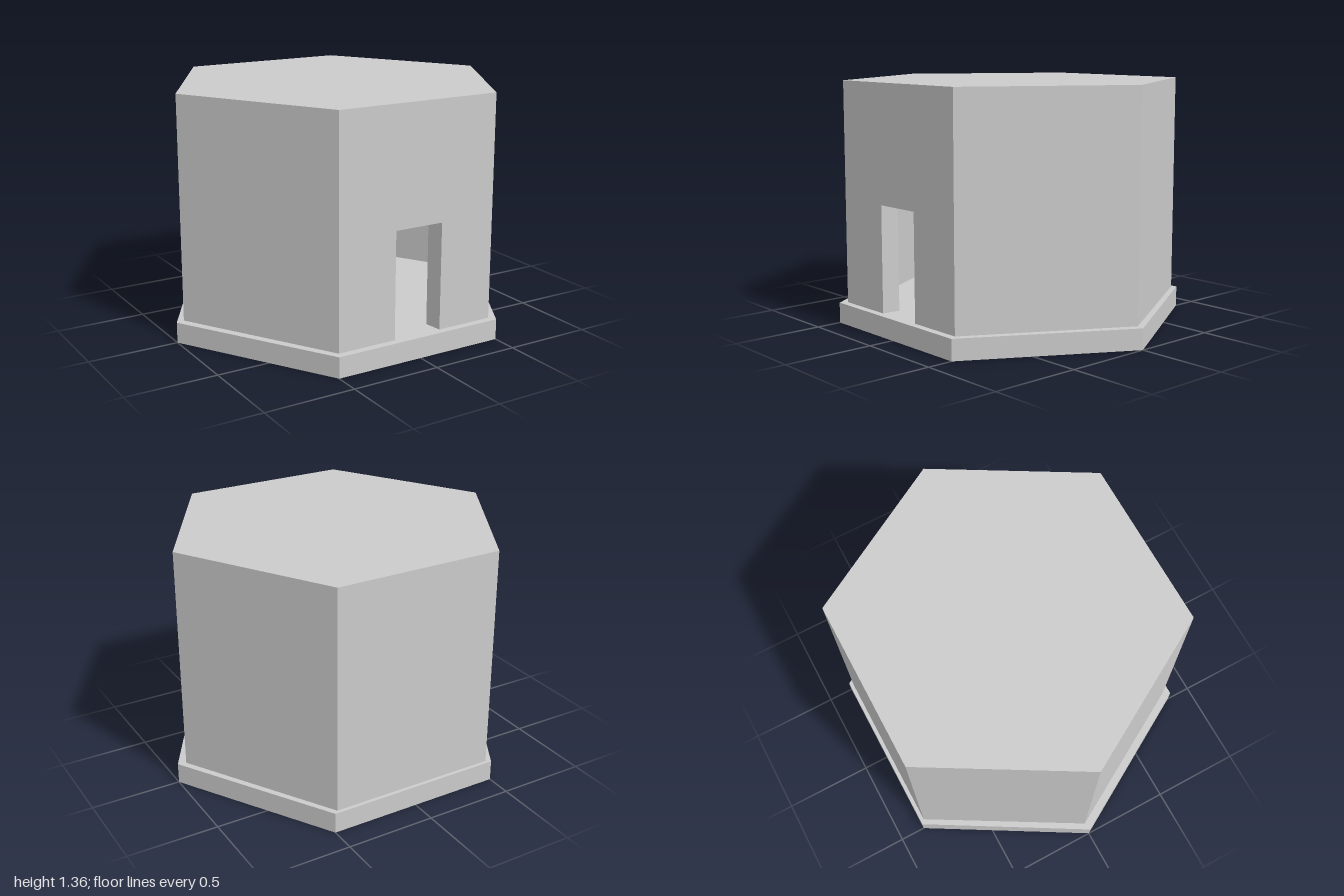
import * as THREE from 'three';

const FLOOR = 0.115, DOOR_TOP = 0.705, CEILING = 1.255, TOP = 1.355;
const CENTRE_Z = -0.01, WALL_R = 0.954, INNER_R = 0.838;

// Hexagon corners in plan as [x, z]; the walk starts at the front left corner
// (+x, +z), passes round the back and ends at the front right corner.
function hexagon(radius, halfDepth = radius * Math.sqrt(3) / 2, cz = CENTRE_Z) {
  const points = [];
  for (let i = 0; i < 6; i++) {
    const a = Math.PI / 3 * (1 - i);
    points.push([radius * Math.cos(a), cz + halfDepth * Math.sin(a) / Math.sin(Math.PI / 3)]);
  }
  return points;
}

const toPlan = (points) => points.map(([x, z]) => new THREE.Vector2(x, -z));

// Raises a plan outline, with an optional hole, from y0 to y1.
function prism(name, outline, y0, y1, hole) {
  const shape = new THREE.Shape(toPlan(outline));
  if (hole) shape.holes.push(new THREE.Path(toPlan(hole)));
  const geometry = new THREE.ExtrudeGeometry(shape, { depth: y1 - y0, bevelEnabled: false });
  geometry.rotateX(-Math.PI / 2).translate(0, y0, 0);
  const mesh = new THREE.Mesh(geometry, new THREE.MeshStandardMaterial({ color: 0xcccccc, flatShading: true }));
  mesh.name = name;
  return mesh;
}

export function createModel() {
  const model = new THREE.Group();
  model.name = 'hexagonalHut';

  const outer = hexagon(WALL_R);
  const inner = hexagon(INNER_R);
  const frontZ = outer[0][1], insideZ = inner[0][1];

  // Plinth, a little wider than the walls
  model.add(prism('plinth', hexagon(1, 0.857, 0), 0, FLOOR));

  // Walls beside the doorway: a ring left open at the front, with slightly splayed jambs
  const openRing = [
    [0.148, frontZ], ...outer, [-0.138, frontZ],
    [-0.128, insideZ], ...[...inner].reverse(), [0.135, insideZ],
  ];
  model.add(prism('lowerWalls', openRing, FLOOR, DOOR_TOP));

  // Closed ring above the doorway, then the flat roof slab
  model.add(prism('upperWalls', outer, DOOR_TOP, CEILING, inner));
  model.add(prism('roof', outer, CEILING, TOP));

  return model;
}
